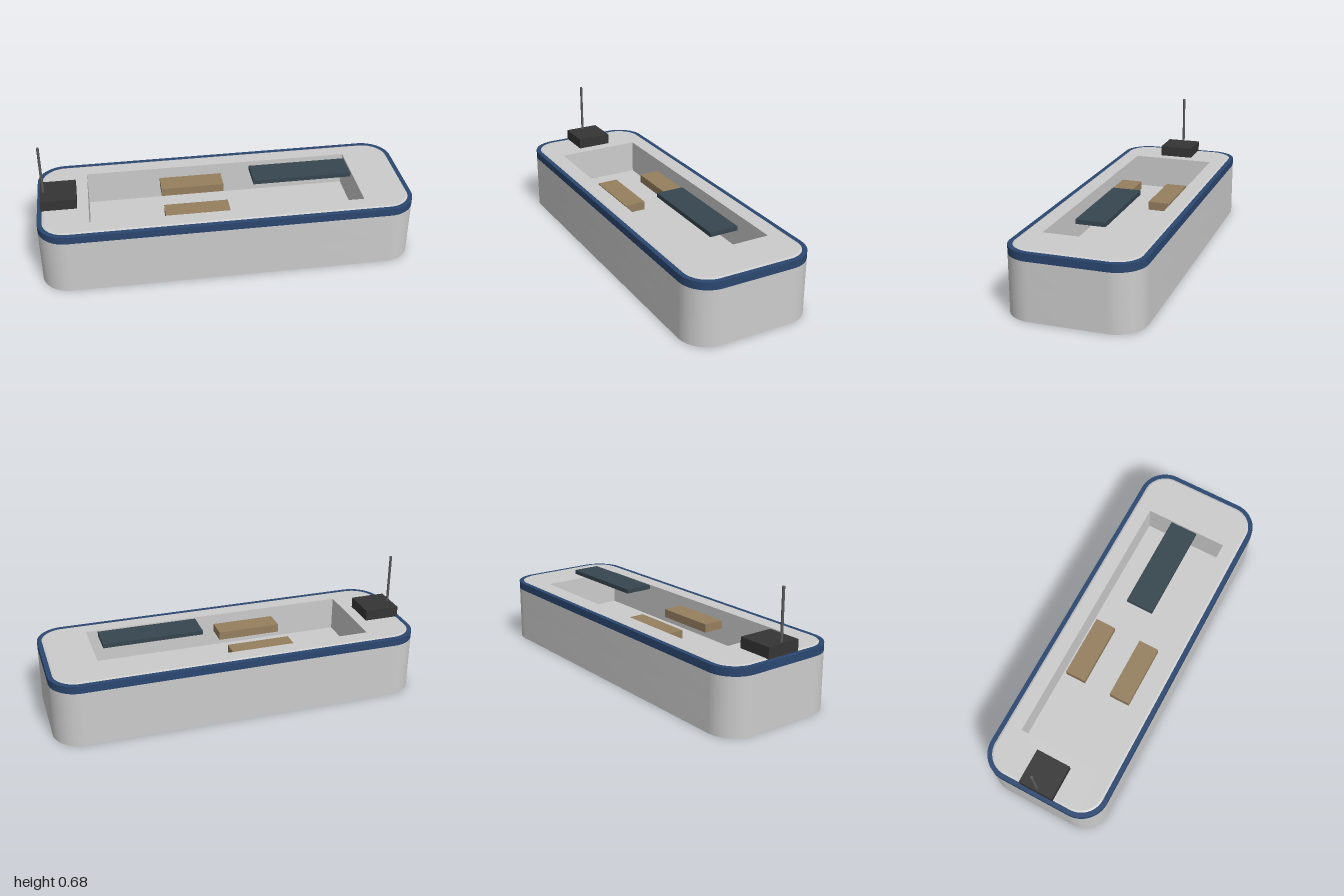
import * as THREE from 'three';
import { toCreasedNormals } from 'three/addons/utils/BufferGeometryUtils.js';

const HX = 1, HZ = 0.345, R = 0.15;       // hull half sizes and corner radius
const WELL_X = 0.73, WELL_Z = 0.232;      // half sizes of the cockpit opening

const material = (color) => new THREE.MeshStandardMaterial({ color });
const grey = material(0xcccccc), navy = material(0x2b4770), wood = material(0x957f5f);
const slate = material(0x37464f), black = material(0x353535), steel = material(0x5a5a5a);

// Rounded plan outline, inset from the hull side
function outline(inset, Type = THREE.Shape) {
  const x = HX - inset, z = HZ - inset, r = R - inset;
  const s = new Type();
  s.moveTo(x, -z + r);
  s.lineTo(x, z - r);
  s.absarc(x - r, z - r, r, 0, Math.PI / 2);
  s.absarc(-x + r, z - r, r, Math.PI / 2, Math.PI);
  s.absarc(-x + r, -z + r, r, Math.PI, Math.PI * 1.5);
  s.absarc(x - r, -z + r, r, Math.PI * 1.5, Math.PI * 2);
  return s;
}

function wellHole() {
  return new THREE.Path([
    [-WELL_X, -WELL_Z], [WELL_X, -WELL_Z], [WELL_X, WELL_Z], [-WELL_X, WELL_Z],
  ].map(([x, z]) => new THREE.Vector2(x, z)));
}

// Upright extrusion of a plan shape between two heights
function slab(shape, y0, y1, bevel) {
  const t = bevel ? bevel.thickness : 0;
  const g = new THREE.ExtrudeGeometry(shape, {
    depth: y1 - y0 - 2 * t, curveSegments: 16, bevelEnabled: !!bevel,
    bevelThickness: t, bevelSize: bevel ? bevel.size : 0,
    bevelOffset: bevel ? -bevel.size : 0, bevelSegments: 1,
  });
  g.rotateX(-Math.PI / 2);
  g.translate(0, y0 + t, 0);
  return g;
}

export function createModel() {
  const group = new THREE.Group();
  const add = (name, geometry, mat, x = 0, y = 0, z = 0) => {
    const mesh = new THREE.Mesh(geometry, mat);
    mesh.name = name;
    mesh.position.set(x, y, z);
    group.add(mesh);
  };
  const box = (name, mat, x0, x1, y0, y1, z0, z1) => add(name,
    new THREE.BoxGeometry(x1 - x0, y1 - y0, z1 - z0), mat,
    (x0 + x1) / 2, (y0 + y1) / 2, (z0 + z1) / 2);

  // Hull: solid floor with walls around the cockpit
  add('hullFloor', toCreasedNormals(slab(outline(0), 0, 0.16), 0.6), grey);
  const walls = outline(0);
  walls.holes.push(wellHole());
  add('hullWalls', toCreasedNormals(slab(walls, 0.16, 0.302), 0.6), grey);

  // Deck: chamfered outer edge, cockpit edge snapped back to a sharp rectangle
  const deckShape = outline(0.025);
  deckShape.holes.push(wellHole());
  const deck = slab(deckShape, 0.298, 0.347, { thickness: 0.004, size: 0.01 });
  const p = deck.attributes.position;
  for (let i = 0; i < p.count; i++) {
    const x = p.getX(i), z = p.getZ(i);
    if (Math.abs(x) < WELL_X + 0.02 && Math.abs(z) < WELL_Z + 0.02) {
      p.setX(i, Math.sign(x) * WELL_X);
      p.setZ(i, Math.sign(z) * WELL_Z);
    }
  }
  add('deck', toCreasedNormals(deck, 0.3), grey);

  // Coloured band around the top edge
  const rim = outline(0);
  rim.holes.push(outline(0.025, THREE.Path));
  add('rim', toCreasedNormals(slab(rim, 0.302, 0.343), 0.6), navy);

  // Pair of side benches in the cockpit
  box('leftBench', wood, -0.33, 0.015, 0.265, 0.31, 0.077, 0.192);
  box('rightBench', wood, -0.33, 0.015, 0.265, 0.31, -0.192, -0.077);

  // Raised panel, equipment box and mast
  box('panel', slate, 0.155, 0.69, 0.394, 0.417, -0.077, 0.077);
  box('equipmentBox', black, -0.98, -0.79, 0.345, 0.405, -0.096, 0.096);
  add('mast', new THREE.CylinderGeometry(0.007, 0.007, 0.275, 16), steel, -0.963, 0.5375, 0);

  return group;
}
